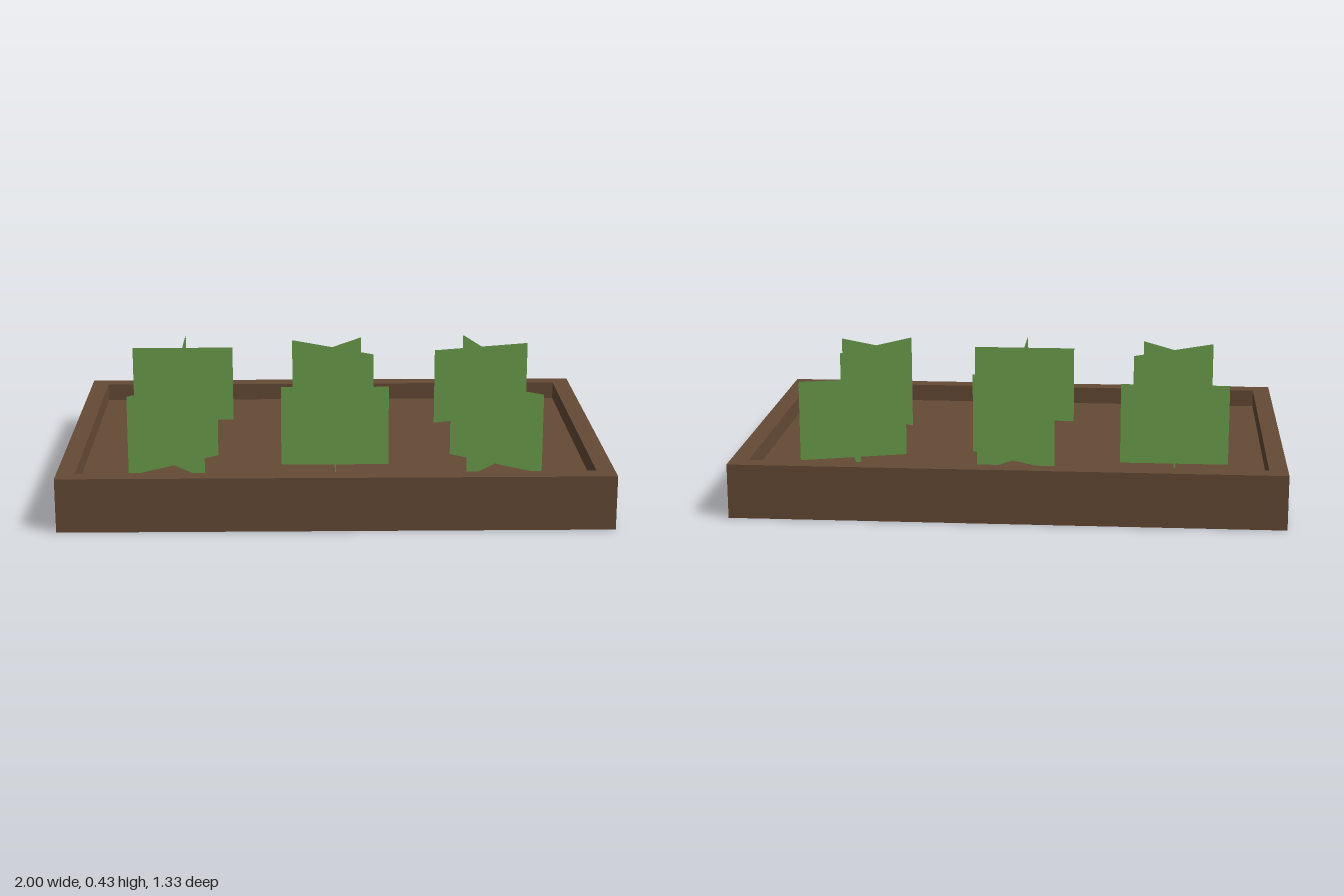
import * as THREE from 'three';
import { mergeGeometries } from 'three/addons/utils/BufferGeometryUtils.js';

const W = 2, D = 1.333, H = 0.2, WALL = 0.067, SOIL_Y = 0.133;
const LEAF_W = 0.4, LEAF_H = 0.3, LEAF_T = 0.002;

// One thin leaf card, its normals pointing up for even shading
function leafCard(angle) {
  const card = new THREE.BoxGeometry(LEAF_W, LEAF_H, LEAF_T);
  card.translate(0, LEAF_H / 2, 0).rotateY(angle);
  const n = card.attributes.normal;
  for (let i = 0; i < n.count; i++) n.setXYZ(i, 0, 1, 0);
  return card;
}

export function createModel() {
  const model = new THREE.Group();
  model.name = 'planterBed';
  const wood = new THREE.MeshStandardMaterial({ name: 'brownEarth', color: 0x654a35 });
  const green = new THREE.MeshStandardMaterial({ name: 'leafGreen', color: 0x527b39 });

  // Open rectangular frame
  const rect = (target, w, d) => target
    .moveTo(-w / 2, -d / 2).lineTo(w / 2, -d / 2).lineTo(w / 2, d / 2).lineTo(-w / 2, d / 2).closePath();
  const outline = rect(new THREE.Shape(), W, D);
  outline.holes.push(rect(new THREE.Path(), W - 2 * WALL, D - 2 * WALL));
  const frameGeo = new THREE.ExtrudeGeometry(outline, { depth: H, bevelEnabled: false });
  frameGeo.rotateX(-Math.PI / 2);
  const frame = new THREE.Mesh(frameGeo, wood);
  frame.name = 'frame';
  model.add(frame);

  // Thin soil sheet inside the frame
  const soil = new THREE.Mesh(new THREE.BoxGeometry(W - 2 * WALL, 0.004, D - 2 * WALL), wood);
  soil.name = 'soil';
  soil.position.y = SOIL_Y - 0.002;
  model.add(soil);

  // Six plants of two crossed cards: x, z, turn in degrees
  const plants = [
    [-0.6, -0.3, 0], [0, -0.3, 53.5], [0.6, -0.3, 16.5],
    [-0.6, 0.3, 37.5], [0, 0.3, 0], [0.6, 0.3, 53],
  ];
  const plantGeo = mergeGeometries([leafCard(0), leafCard(Math.PI / 2)]);
  plants.forEach(([x, z, turn], i) => {
    const plant = new THREE.Mesh(plantGeo, green);
    plant.name = `plant${i + 1}`;
    plant.position.set(x, SOIL_Y, z);
    plant.rotation.y = THREE.MathUtils.degToRad(turn);
    model.add(plant);
  });

  return model;
}
